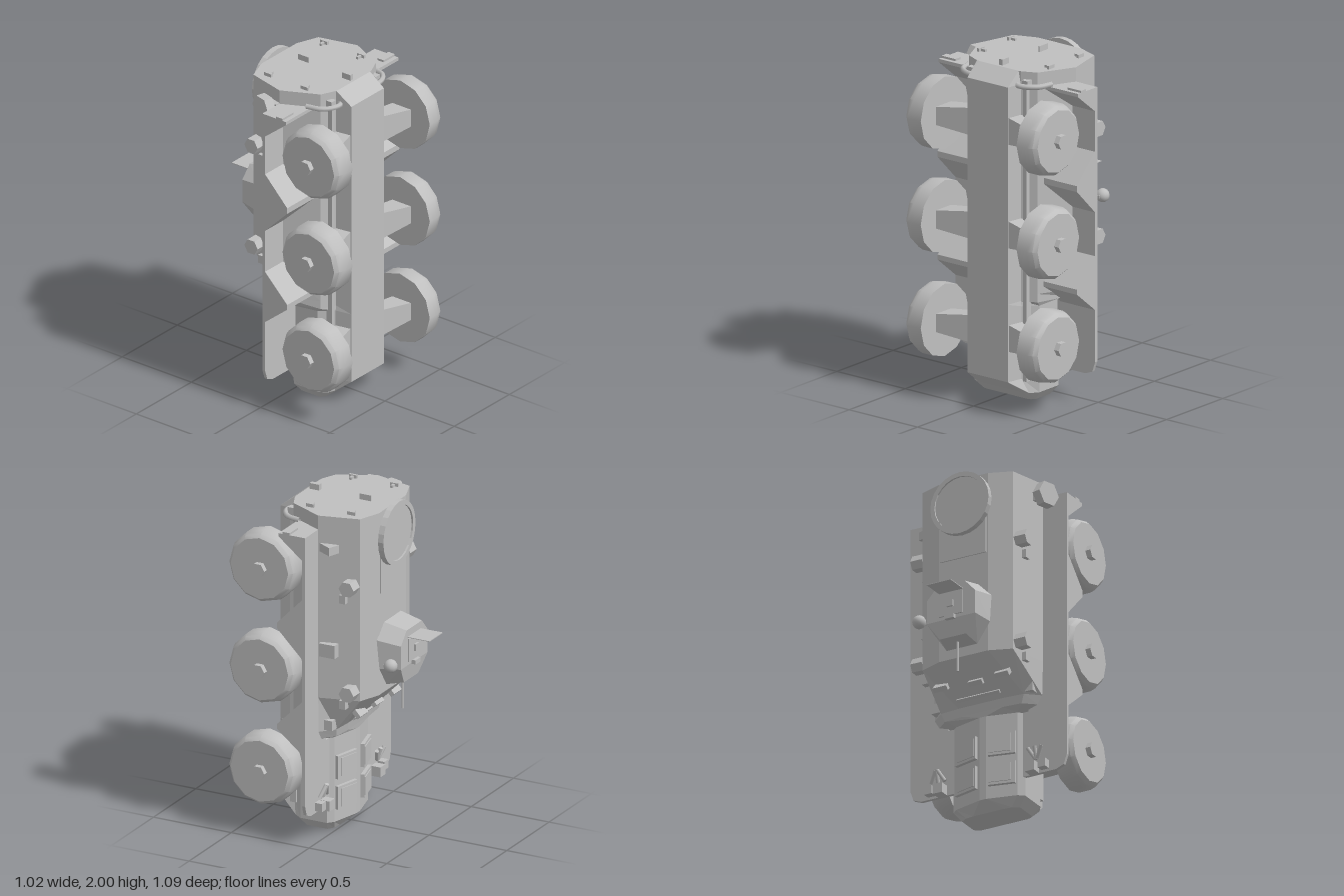
import * as THREE from 'three';
import { toCreasedNormals } from 'three/addons/utils/BufferGeometryUtils.js';
import { ConvexGeometry } from 'three/addons/geometries/ConvexGeometry.js';

const armour = new THREE.MeshStandardMaterial({ color: 0xbfbfbf, side: THREE.DoubleSide });
armour.name = 'armour grey';

// Cross-sections (half outlines of [x, z]) joined along y, mirrored in x, capped at both ends
function loft(sections) {
  const pos = [];
  const rings = sections.map(([y, half]) => [
    ...half.map(([x, z]) => [x, y, z]),
    ...half.slice().reverse().map(([x, z]) => [-x, y, z]),
  ]);
  const n = rings[0].length;
  const tri = (a, b, c) => pos.push(...a, ...b, ...c);
  for (let k = 0; k < rings.length - 1; k++) {
    const a = rings[k], b = rings[k + 1];
    for (let i = 0; i < n; i++) {
      const j = (i + 1) % n;
      tri(a[i], b[i], b[j]);
      tri(a[i], b[j], a[j]);
    }
  }
  const lo = rings[0], hi = rings[rings.length - 1];
  for (let i = 1; i < n - 1; i++) {
    tri(lo[0], lo[i], lo[i + 1]);
    tri(hi[0], hi[i + 1], hi[i]);
  }
  const g = new THREE.BufferGeometry();
  g.setAttribute('position', new THREE.Float32BufferAttribute(pos, 3));
  g.computeVertexNormals();
  return g;
}

const convex = (pts) => new ConvexGeometry(pts.map((p) => new THREE.Vector3(...p)));

export function createModel() {
  const model = new THREE.Group();
  model.name = 'sixWheeledArmouredCar';
  const add = (name, geo, x = 0, y = 0, z = 0, rx = 0, ry = 0, rz = 0) => {
    const m = new THREE.Mesh(geo, armour);
    m.name = name;
    m.position.set(x, y, z);
    m.rotation.set(rx, ry, rz);
    model.add(m);
    return m;
  };
  const box = (name, w, h, d, ...place) => add(name, new THREE.BoxGeometry(w, h, d), ...place);

  // Hull: nose at y = 0, roof towards -z, belly towards +z
  const keel = [[0.25, 0.235], [0.16, 0.275], [0.148, 0.375]];
  const body = [[0.16, -0.265], [0.295, -0.215], [0.355, 0.02], ...keel];
  const noseTop = [[0.02, -0.045], [0.2, 0], [0.235, 0.03]];
  const noseKeel = [[0.235, 0.2], [0.165, 0.275], [0.148, 0.375]];
  add('hull', loft([
    [0, [[0.1, 0.02], [0.15, 0.025], [0.19, 0.05], [0.19, 0.18], [0.17, 0.2], [0.15, 0.205]]],
    [0.055, [...noseTop, [0.235, 0.2], [0.2, 0.25], [0.16, 0.265]]],
    [0.14, [...noseTop, ...noseKeel]],
    [0.57, [...noseTop, ...noseKeel]],
    [0.6, [[0.13, -0.05], [0.25, -0.04], [0.32, 0.02], ...keel]],
    [0.65, [[0.15, -0.06], [0.27, -0.05], [0.35, 0.02], ...keel]],
    [0.86, body],
    [1.89, body],
    [1.965, [...body.slice(0, 5), [0.145, 0.277]]],
  ]));

  // Engine hatches on the sloping nose deck
  for (const s of [-1, 1]) for (const y of [0.2, 0.385]) {
    box('engineHatch', 0.16, 0.14, 0.03, s * 0.115, y, -0.028, 0, -s * 0.25, 0);
    box('engineHatchPanel', 0.13, 0.11, 0.008, s * 0.111, y, -0.046, 0, -s * 0.25, 0);
  }

  // Fender side profile as [z, y]: flat over the wheels, wedges between them
  const fender = new THREE.Shape([
    [0.02, 1.88], [0.19, 1.88], [0.19, 1.86], [0.04, 1.74], [0.04, 1.5], [0.2, 1.335], [0.2, 1.3],
    [0.04, 1.14], [0.04, 0.88], [0.2, 0.72], [0.2, 0.69], [0.04, 0.56], [0.02, 0.56],
  ].map((p) => new THREE.Vector2(...p)));
  const fenderGeo = new THREE.ExtrudeGeometry(fender, { depth: 0.25, bevelEnabled: false }).rotateY(-Math.PI / 2);

  // Wheel with rounded outer shoulder, axis turned to x
  const wheelGeo = toCreasedNormals(new THREE.LatheGeometry([
    [0, 0], [0.215, 0], [0.215, 0.075], [0.205, 0.108], [0.185, 0.13], [0, 0.13],
  ].map((p) => new THREE.Vector2(...p)), 12), 0.62);
  const hubGeo = new THREE.CylinderGeometry(0.043, 0.043, 0.035, 6).toNonIndexed();
  hubGeo.computeVertexNormals();
  const lugGeo = new THREE.CylinderGeometry(0.048, 0.048, 0.075, 6).toNonIndexed();
  lugGeo.computeVertexNormals();

  for (const s of [-1, 1]) {
    add('fender', fenderGeo, s > 0 ? 0.51 : -0.26, 0, 0);
    const front = new THREE.Shape([[0.2, 0.57], [0.51, 0.57], [0.51, 0.25], [0.49, 0.19], [0.44, 0.17], [0.2, 0.17]]
      .map(([x, y]) => new THREE.Vector2(s * x, y)));
    add('frontFender', new THREE.ExtrudeGeometry(front, { depth: 0.02, bevelEnabled: false }), 0, 0, 0.02);

    for (const y of [0.398, 1.013, 1.628]) {
      add('wheel', wheelGeo, s * 0.35, y, 0.33, 0, 0, -s * Math.PI / 2);
      add('hub', hubGeo, s * 0.495, y, 0.325, 0, 0, Math.PI / 2);
      const pts = [];
      for (const t of [-1, 1]) {
        pts.push([s * 0.13, y + t * 0.082, 0.27], [s * 0.13, y + t * 0.082, 0.365]);
        pts.push([s * 0.36, y + t * 0.053, 0.275], [s * 0.36, y + t * 0.053, 0.41]);
      }
      add('axle', convex(pts));
    }

    // Rails under the hull
    box('bellyRail', 0.025, 1.76, 0.04, s * 0.195, 1.01, 0.262);

    // Side periscopes, step and lamps
    for (const y of [0.915, 1.555]) {
      add('sidePeriscope', lugGeo, s * 0.337, y, -0.17, 0, 0, Math.PI / 2);
      box('periscopeFoot', 0.04, 0.05, 0.04, s * 0.32, y - 0.08, -0.125);
    }
    box('tailLamp', 0.1, 0.015, 0.045, s * 0.46, 1.885, 0.142);
    box('headlamp', 0.06, 0.06, 0.06, s * 0.3, 0.2, -0.01);
    box('headlamp', 0.05, 0.05, 0.05, s * 0.37, 0.21, 0);
    for (const t of [-0.5, 0, 0.5]) {
      add('smokeTube', new THREE.CylinderGeometry(0.012, 0.012, 0.08, 8), s * (0.32 + t * 0.05), 0.29, -0.005, -0.3, 0, t);
    }
    box('frontHook', 0.02, 0.14, 0.03, s * 0.235, 0.4, 0.11);

    // Glacis vision blocks
    box('visionBlock', 0.09, 0.07, 0.03, s * 0.2, 0.76, -0.158, 0.75, 0, 0);
    box('collarBlock', 0.06, 0.06, 0.05, s * 0.3, 0.69, -0.03);

    // Rear tow loop and hook
    add('towLoop', new THREE.TubeGeometry(new THREE.CatmullRomCurve3([
      [0.3, 0.17], [0.275, 0.26], [0.225, 0.3], [0.165, 0.31], [0.14, 0.28],
    ].map(([x, z]) => new THREE.Vector3(s * x, 1.89, z))), 12, 0.016, 6));
    box('rearHook', 0.04, 0.04, 0.04, s * 0.2, 1.9, 0.27);

    // Rear door hinges
    for (const z of [-0.14, 0.125]) {
      box('hingePlate', 0.015, 0.02, 0.05, s * 0.255, 1.975, z);
      box('hingeArm', 0.035, 0.015, 0.015, s * 0.235, 1.972, z);
    }
  }

  // Rear plate fittings
  box('rearHandle', 0.008, 0.035, 0.075, 0.015, 1.982, -0.1);
  box('rearLamp', 0.027, 0.04, 0.06, 0, 1.98, 0.23);

  // Side details that differ left to right
  add('sideDrum', lugGeo.clone().scale(1.6, 0.75, 1.6), -0.41, 1.86, -0.045, 0, -0.28, Math.PI / 2);
  box('drumBracket', 0.05, 0.05, 0.08, -0.36, 1.86, -0.02);
  box('sideStep', 0.06, 0.08, 0.1, 0.345, 1.16, -0.045);
  add('sideBracket', convex([[0.33, 1.75, -0.1], [0.4, 1.75, -0.075], [0.35, 1.75, 0.02],
    [0.33, 1.8, -0.1], [0.4, 1.8, -0.075], [0.35, 1.8, 0.02]]));

  // Roof: rear panel and round hatch with rim
  box('roofPanel', 0.3, 0.27, 0.008, 0, 1.61, -0.268);
  const disc = add('roundHatch', new THREE.CylinderGeometry(0.17, 0.17, 0.022, 12), 0, 1.8, -0.288, Math.PI / 2);
  disc.geometry = toCreasedNormals(disc.geometry, 0.3);
  const rim = new THREE.Shape().absarc(0, 0, 0.19, 0, Math.PI * 2);
  rim.holes.push(new THREE.Path().absarc(0, 0, 0.163, 0, Math.PI * 2, true));
  add('hatchRim', new THREE.ExtrudeGeometry(rim, { depth: 0.035, bevelEnabled: false, curveSegments: 12 }), 0, 1.8, -0.31);

  // Turret: faceted base tapering to a smaller top
  const turret = [];
  for (const s of [-1, 1]) {
    turret.push([s * 0.1, 1.285, -0.262], [s * 0.182, 1.2, -0.262], [s * 0.182, 1.03, -0.28], [s * 0.1, 0.91, -0.28]);
    turret.push([s * 0.09, 1.255, -0.405], [s * 0.158, 1.18, -0.405], [s * 0.158, 1.04, -0.405], [s * 0.085, 0.935, -0.385]);
  }
  add('turret', convex(turret));
  box('turretHatch', 0.15, 0.14, 0.012, 0, 1.13, -0.407);
  box('turretSight', 0.04, 0.04, 0.015, 0, 1.13, -0.418);
  box('turretPeriscope', 0.06, 0.025, 0.03, 0, 1.045, -0.415);
  box('openHatchLid', 0.156, 0.004, 0.14, 0, 1.21, -0.475);
  add('gunBarrel', new THREE.CylinderGeometry(0.007, 0.007, 0.2, 8), 0, 0.84, -0.33);
  add('searchlight', new THREE.SphereGeometry(0.04, 12, 8), 0.225, 1.08, -0.375);
  box('searchlightArm', 0.09, 0.015, 0.006, 0.19, 1.08, -0.337);

  // Glacis plate strip and tool
  box('glacisStrip', 0.28, 0.015, 0.02, 0, 0.68, -0.095, 0.75, 0, 0);
  box('glacisTool', 0.09, 0.035, 0.03, -0.02, 0.74, -0.155, 0.75, 0, 0);
  return model;
}
